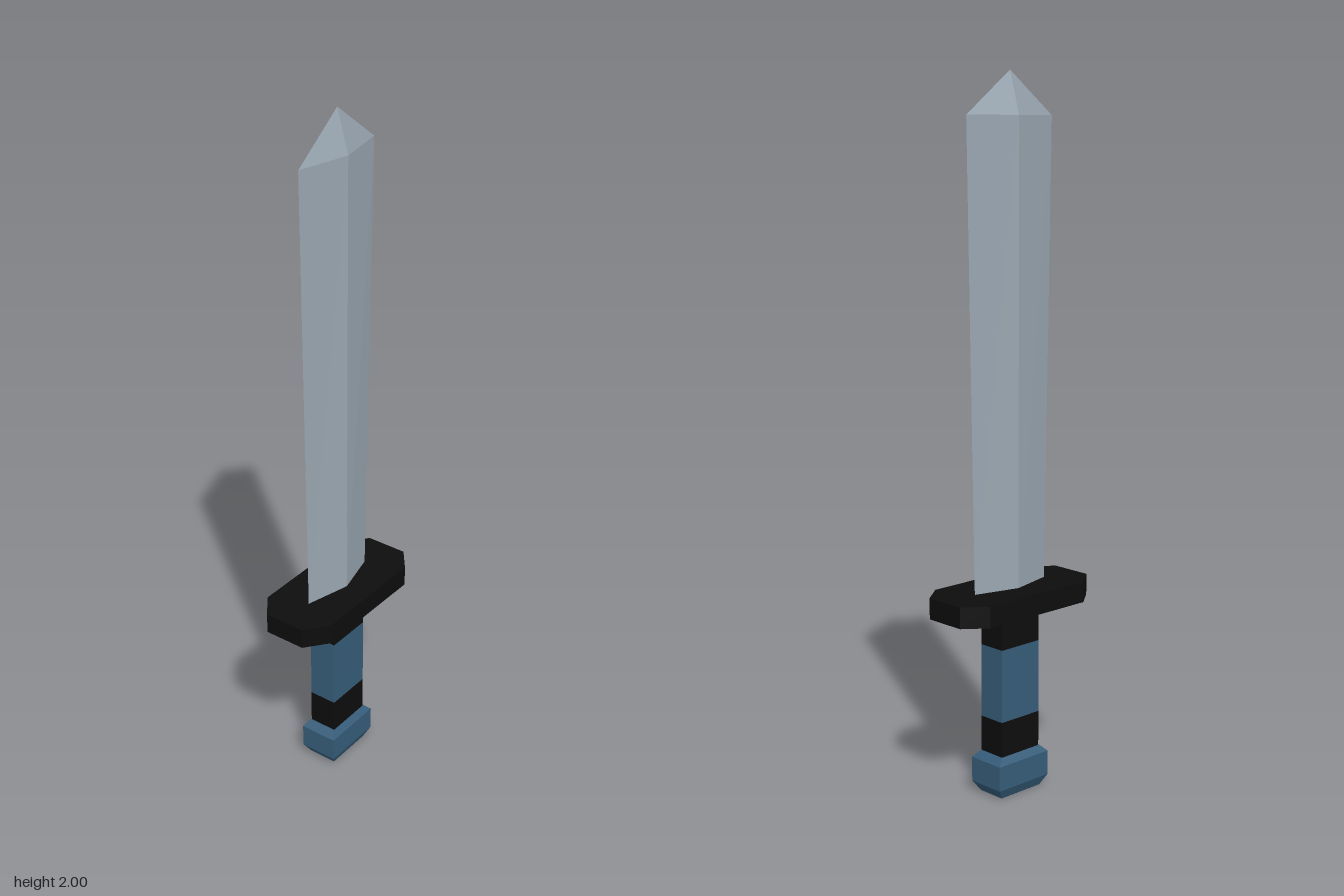
import * as THREE from 'three';

const steel = new THREE.MeshStandardMaterial({ color: 0x9aa7b2, flatShading: true });
const black = new THREE.MeshStandardMaterial({ color: 0x0d0d0d, flatShading: true });
const blue = new THREE.MeshStandardMaterial({ color: 0x365d7a, flatShading: true });

// Unit outlines in [x, z], running from +x towards +z
const diamond = [[1, 0], [0, 1], [-1, 0], [0, -1]];
const rectangle = [[1, -1], [1, 1], [-1, 1], [-1, -1]];
const cx = 0.735, cz = 0.55;
const octagon = [[1, -cz], [1, cz], [cx, 1], [-cx, 1], [-1, cz], [-1, -cz], [-cx, -1], [cx, -1]];

// Stack scaled copies of an outline; each section is [y, halfWidth, halfDepth]
function loft(outline, sections) {
  const n = outline.length, last = sections.length - 1;
  const point = (s, i) => {
    const [y, w, d] = sections[s], [x, z] = outline[i % n];
    return [x * w, y, z * d];
  };
  const pos = [];
  const tri = (a, b, c) => pos.push(...a, ...b, ...c);
  for (let s = 0; s < last; s++) {
    for (let i = 0; i < n; i++) {
      tri(point(s, i), point(s + 1, i), point(s, i + 1));
      if (sections[s + 1][1] > 0) tri(point(s, i + 1), point(s + 1, i), point(s + 1, i + 1));
    }
  }
  // End caps, leaving a pointed end open
  for (let i = 1; i < n - 1; i++) {
    tri(point(0, 0), point(0, i), point(0, i + 1));
    if (sections[last][1] > 0) tri(point(last, 0), point(last, i + 1), point(last, i));
  }
  const geometry = new THREE.BufferGeometry();
  geometry.setAttribute('position', new THREE.Float32BufferAttribute(pos, 3));
  geometry.computeVertexNormals();
  return geometry;
}

export function createModel() {
  const sword = new THREE.Group();
  sword.name = 'sword';
  const add = (name, geometry, material) => {
    const mesh = new THREE.Mesh(geometry, material);
    mesh.name = name;
    sword.add(mesh);
  };

  // Blade widens slightly towards a short four-sided point
  add('blade', loft(diamond, [[0.595, 0.133, 0.034], [1.883, 0.156, 0.034], [2, 0, 0]]), steel);

  // Crossguard plate with clipped corners
  add('guard', loft(octagon, [[0.536, 0.243, 0.112], [0.596, 0.243, 0.112]]), black);

  // Grip: a coloured band between two dark bands
  const bands = [['lowerGrip', 0.117, 0.222, black], ['middleGrip', 0.222, 0.432, blue], ['upperGrip', 0.432, 0.536, black]];
  for (const [name, y0, y1, material] of bands) {
    add(name, loft(rectangle, [[y0, 0.071, 0.042], [y1, 0.071, 0.042]]), material);
  }

  // Pommel with bevelled top and bottom
  add('pommel', loft(rectangle, [
    [0, 0.074, 0.043], [0.03, 0.094, 0.057], [0.101, 0.094, 0.057], [0.12, 0.074, 0.043],
  ]), blue);

  return sword;
}
